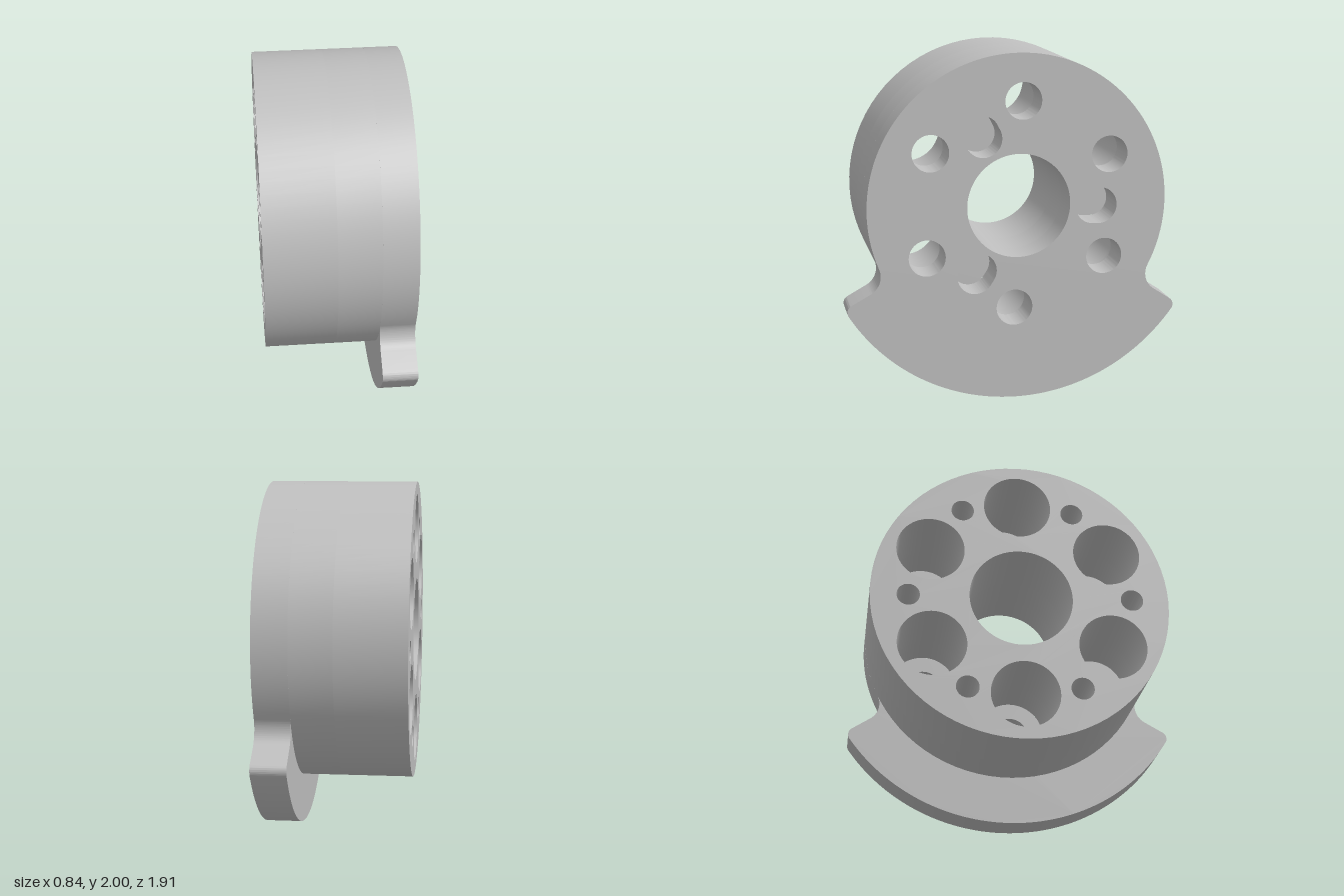
import * as THREE from 'three';
import { toCreasedNormals } from 'three/addons/utils/BufferGeometryUtils.js';

const rad = THREE.MathUtils.degToRad;
const R_BODY = 0.862, R_FLANGE = 1.138, R_BORE = 0.298;
const FILLET = 0.114, TIP = 0.045, EDGE = -31.1; // flange shoulder: radii and angle in degrees

const polar = (r, deg) => [r * Math.cos(rad(deg)), r * Math.sin(rad(deg))];

function arc(path, r, deg, radius, from, to, clockwise = false) {
  path.absarc(...polar(r, deg), radius, rad(from), rad(to), clockwise);
  return path;
}

// Adds evenly spaced round holes on a pitch circle
function ringOfHoles(shape, count, pitch, radius, start) {
  for (let i = 0; i < count; i++) {
    shape.holes.push(arc(new THREE.Path(), pitch, start + (i * 360) / count, radius, 0, 360));
  }
}

// Adds three short radial slots
function ringOfSlots(shape) {
  for (const a of [0, 120, 240]) {
    const slot = new THREE.Path();
    arc(slot, 0.469, a, 0.105, a - 90, a + 90);
    arc(slot, 0.437, a, 0.105, a + 90, a + 270);
    slot.closePath();
    shape.holes.push(slot);
  }
}

function discShape() {
  const s = arc(new THREE.Shape(), 0, 0, R_BODY, 0, 360);
  ringOfHoles(s, 1, 0, R_BORE, 0);
  return s;
}

// Disc that widens into a larger sector at the bottom, with filleted shoulders
function flangeShape() {
  const dF = R_BODY + FILLET, dT = R_FLANGE - TIP;
  const f = EDGE + THREE.MathUtils.radToDeg(Math.asin(FILLET / dF));
  const t = EDGE - THREE.MathUtils.radToDeg(Math.asin(TIP / dT));
  const s = new THREE.Shape();
  arc(s, 0, 0, R_FLANGE, 180 - t, 360 + t);
  arc(s, dT, t, TIP, t, EDGE + 90);
  arc(s, dF, f, FILLET, EDGE - 90, f - 180, true);
  arc(s, 0, 0, R_BODY, f, 180 - f);
  arc(s, dF, 180 - f, FILLET, -f, -90 - EDGE, true);
  arc(s, dT, 180 - t, TIP, 90 - EDGE, 180 - t);
  s.closePath();
  ringOfHoles(s, 1, 0, R_BORE, 0);
  return s;
}

export function createModel() {
  const metal = new THREE.MeshStandardMaterial({ color: 0xbfbfbf });
  metal.name = 'grey metal';
  const model = new THREE.Group();
  model.name = 'flangedRotor';

  const addLayer = (name, shape, from, to) => {
    const geo = new THREE.ExtrudeGeometry(shape, {
      depth: to - from, bevelEnabled: false, curveSegments: 40,
    });
    geo.translate(0, 0, from);
    const mesh = new THREE.Mesh(toCreasedNormals(geo, 0.5), metal);
    mesh.name = name;
    rotor.add(mesh);
  };

  // Extrusion axis lies along x, with a slight twist about it
  const rotor = new THREE.Group();
  rotor.name = 'rotor';
  rotor.rotation.set(0, Math.PI / 2, rad(-2.4));
  rotor.position.set(0, R_FLANGE, -0.025);
  model.add(rotor);

  // Outer part of the drum: wide bores and blind screw holes
  const drumEnd = discShape();
  ringOfHoles(drumEnd, 6, 0.595, 0.197, 90);
  ringOfHoles(drumEnd, 6, 0.646, 0.066, 0);
  addLayer('drumEnd', drumEnd, -0.42, -0.02);

  // Inner part of the drum: wide bores only
  const drumCore = discShape();
  ringOfHoles(drumCore, 6, 0.595, 0.197, 90);
  addLayer('drumCore', drumCore, -0.02, 0.22);

  // Flange: narrow through holes and slots
  const flange = flangeShape();
  ringOfHoles(flange, 6, 0.595, 0.105, 90);
  ringOfSlots(flange);
  addLayer('flange', flange, 0.22, 0.42);

  return model;
}
